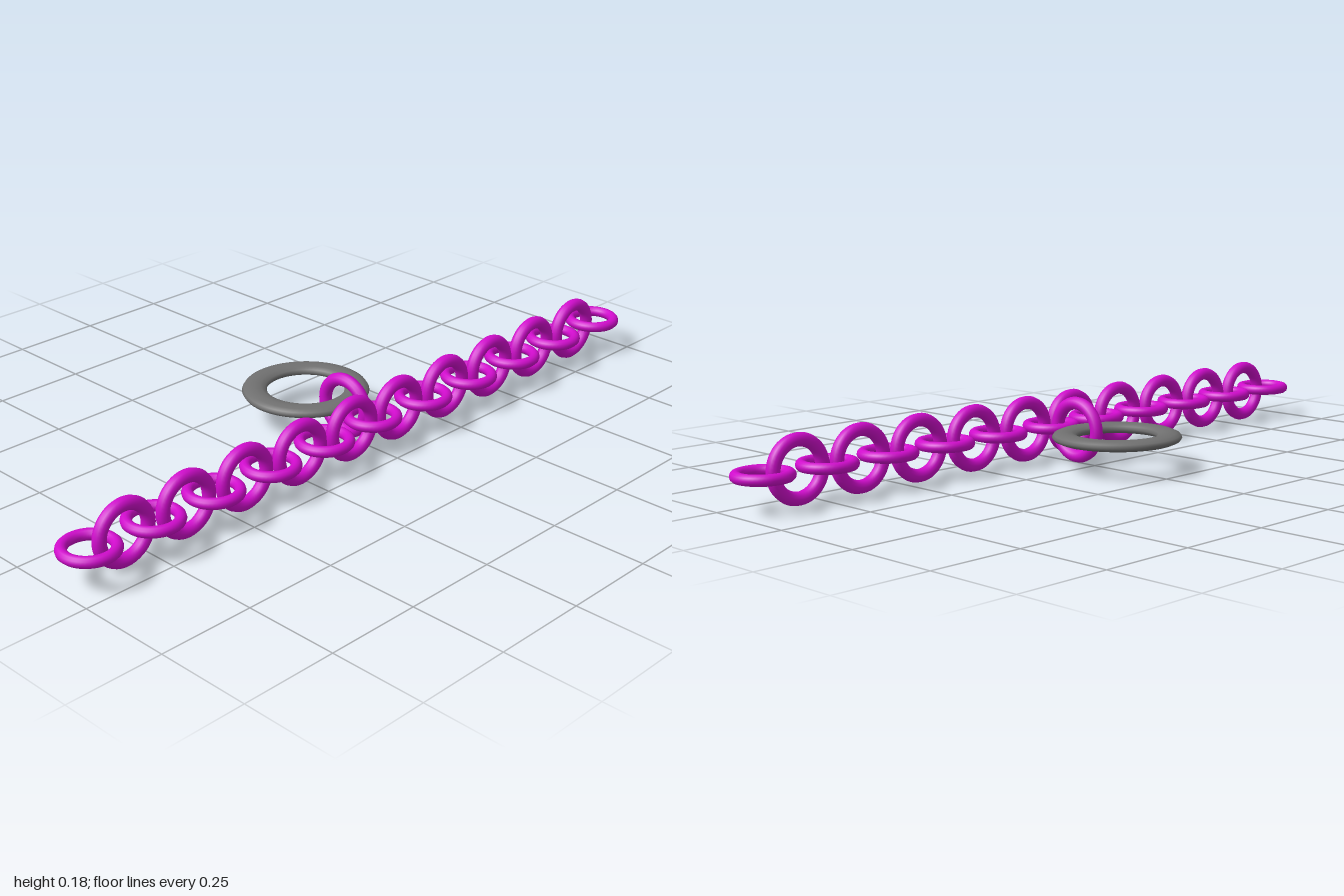
import * as THREE from 'three';

export function createModel() {
  const model = new THREE.Group();
  const magenta = new THREE.MeshStandardMaterial({ color: 0xd00ccc });
  const grey = new THREE.MeshStandardMaterial({ color: 0x707070 });

  const Y = 0.0885;       // height of the chain axis
  const CHAIN_Z = 0.1715; // depth of the chain axis
  const PITCH = 0.1847;   // distance between matching links

  const flatGeometry = new THREE.TorusGeometry(0.0625, 0.0143, 12, 48).rotateX(Math.PI / 2);
  const uprightGeometry = new THREE.TorusGeometry(0.0707, 0.0172, 12, 48);

  function addPart(name, geometry, material, x, z) {
    const mesh = new THREE.Mesh(geometry, material);
    mesh.name = name;
    mesh.position.set(x, Y, z);
    model.add(mesh);
    return mesh;
  }

  // Middle link sits slightly behind the chain axis
  addPart('middleLink', flatGeometry, magenta, 0, 0.1625);

  // Alternating upright and flat links, mirrored to both sides
  for (const side of [-1, 1]) {
    for (let i = 0; i < 5; i++) {
      addPart('uprightLink', uprightGeometry, magenta, side * (0.086 + i * PITCH), CHAIN_Z);
      addPart('flatLink', flatGeometry, magenta, side * (i + 1) * PITCH, CHAIN_Z);
    }
  }

  // Upright link joining the chain to the large ring
  addPart('connectorLink', uprightGeometry, magenta, 0, 0.065).rotation.y = Math.PI / 2;

  // Large flattened ring lying behind the chain
  const ringGeometry = new THREE.TorusGeometry(0.1355, 0.033, 12, 64)
    .rotateX(Math.PI / 2)
    .scale(1, 0.44, 1);
  addPart('largeRing', ringGeometry, grey, 0, -0.0795);

  return model;
}
